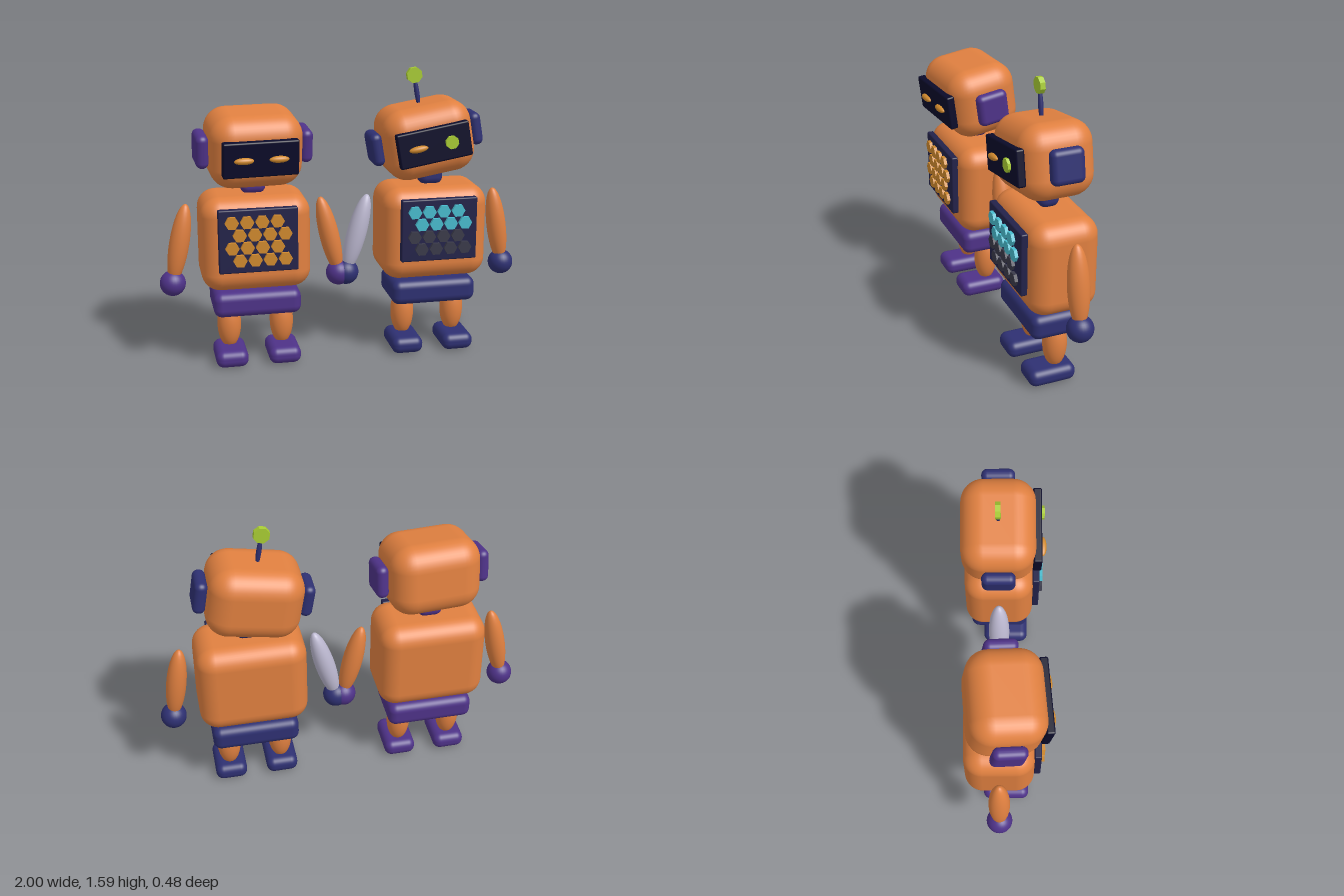
import * as THREE from 'three';
import { RoundedBoxGeometry } from 'three/addons/geometries/RoundedBoxGeometry.js';

const mat = (name, color) => new THREE.MeshStandardMaterial({ name, color });

export function createModel() {
  const orange = mat('orange shell', 0xe08040);
  const purple = mat('purple trim', 0x4e3288);
  const navy = mat('navy trim', 0x2e3072);
  const panelBlue = mat('chest panel', 0x23224a);
  const visorBlack = mat('visor', 0x0b0b2a);
  const gold = mat('gold lights', 0xd0892d);
  const cyan = mat('cyan lights', 0x48bccf);
  const grey = mat('unlit grey', 0x3a3a4a);
  const lime = mat('lime', 0xa8cc33);
  const silver = mat('silver arm', 0xbcb8d0);

  const add = (parent, name, geometry, material, x, y, z) => {
    const mesh = new THREE.Mesh(geometry, material);
    mesh.name = name;
    mesh.position.set(x, y, z);
    parent.add(mesh);
    return mesh;
  };
  const box = (w, h, d, r) => new RoundedBoxGeometry(w, h, d, 5, r);
  const ellipsoid = (rx, ry, rz) => new THREE.SphereGeometry(1, 28, 20).scale(rx, ry, rz);
  // Flat polygonal disc facing the front
  const disc = (r, depth, sides, turn = 0) =>
    new THREE.CylinderGeometry(r, r, depth, sides).toNonIndexed().rotateY(turn).rotateX(Math.PI / 2);
  const faceted = (geometry) => { geometry.computeVertexNormals(); return geometry; };

  const hexLight = faceted(disc(0.037, 0.03, 6, Math.PI / 6 * 3));
  const goldEye = ellipsoid(0.052, 0.018, 0.02);

  function buildRobot(o) {
    const robot = new THREE.Group();
    robot.name = o.name;
    robot.position.set(o.x, 0, -0.035);

    // Torso, hips and neck
    add(robot, 'torso', box(0.587, 0.515, 0.376, 0.1), orange, 0, 0.7, 0);
    add(robot, 'hips', box(0.473, 0.138, 0.322, 0.045), o.trim, 0, 0.363, 0);
    add(robot, 'neck', box(0.135, 0.1, 0.112, 0.04), o.trim, 0, 1, 0);

    // Chest panel with four staggered rows of hexagonal lights
    add(robot, 'chestPanel', box(0.42, 0.345, 0.038, 0.008), panelBlue, 0, 0.742, 0.203);
    for (let row = 0; row < 4; row++) {
      for (let col = 0; col < 4; col++) {
        const x = -0.14 + col * 0.08 + (row % 2) * 0.04;
        add(robot, 'chestLight', hexLight, o.lights[row], x, 0.848 - row * 0.069, 0.225);
      }
    }

    // Legs and feet
    for (const s of [-1, 1]) {
      add(robot, 'leg', ellipsoid(0.065, 0.14, 0.065), orange, s * 0.145, 0.213, 0);
      add(robot, 'foot', box(0.176, 0.094, 0.26, 0.042), o.trim, s * 0.145, 0.052, 0.036);
    }

    // Arms run from shoulder to hand
    for (const arm of o.arms) {
      const top = new THREE.Vector2(arm.shoulder, 0.903);
      const hand = new THREE.Vector2(arm.hand, 0.465);
      const mid = top.clone().add(hand).multiplyScalar(0.5);
      const dir = top.clone().sub(hand);
      const mesh = add(robot, 'arm', ellipsoid(0.054, dir.length() / 2, 0.057),
        arm.material, mid.x, mid.y, 0);
      mesh.rotation.z = -Math.atan2(dir.x, dir.y);
      add(robot, 'hand', ellipsoid(0.07, 0.07, 0.07), o.trim, hand.x, hand.y, 0);
    }

    // Head, pivoting at the neck
    const pivot = new THREE.Group();
    pivot.name = 'headPivot';
    pivot.position.y = 1;
    pivot.rotation.set(...o.headTurn, 'YXZ');
    robot.add(pivot);
    const head = new THREE.Group();
    head.name = 'head';
    head.position.y = 0.213;
    pivot.add(head);
    add(head, 'skull', box(0.495, 0.39, 0.395, 0.12), orange, 0, 0, 0);
    add(head, 'visor', box(0.4, 0.19, 0.046, 0.01), visorBlack, 0, 0, 0.204);
    for (const s of [-1, 1]) {
      add(head, 'earpiece', box(0.068, 0.18, 0.178, 0.032), o.trim, s * 0.278, 0, 0);
    }
    add(head, 'eye', goldEye, gold, -0.092, 0, 0.232);
    if (o.antenna) {
      add(head, 'roundEye', faceted(disc(0.037, 0.03, 8, Math.PI / 8)), lime, 0.092, 0, 0.228);
      add(head, 'antennaRod', ellipsoid(0.0135, 0.085, 0.0135), navy, 0, 0.25, 0);
      add(head, 'antennaTip', faceted(disc(0.044, 0.028, 8, Math.PI / 8)), lime, 0, 0.347, 0);
    } else {
      add(head, 'eye', goldEye, gold, 0.092, 0, 0.232);
    }
    return robot;
  }

  const model = new THREE.Group();
  model.name = 'robotPair';
  model.add(
    buildRobot({
      name: 'purpleRobot', x: -0.487, trim: purple, antenna: false,
      lights: [gold, gold, gold, gold],
      headTurn: [0.13, 0.08, 0],
      arms: [
        { shoulder: -0.358, hand: -0.443, material: orange },
        { shoulder: 0.367, hand: 0.47, material: orange },
      ],
    }),
    buildRobot({
      name: 'navyRobot', x: 0.495, trim: navy, antenna: true,
      lights: [cyan, cyan, grey, grey],
      headTurn: [0, 0, 0.172],
      arms: [
        { shoulder: -0.35, hand: -0.47, material: silver },
        { shoulder: 0.367, hand: 0.432, material: orange },
      ],
    }),
  );
  return model;
}
